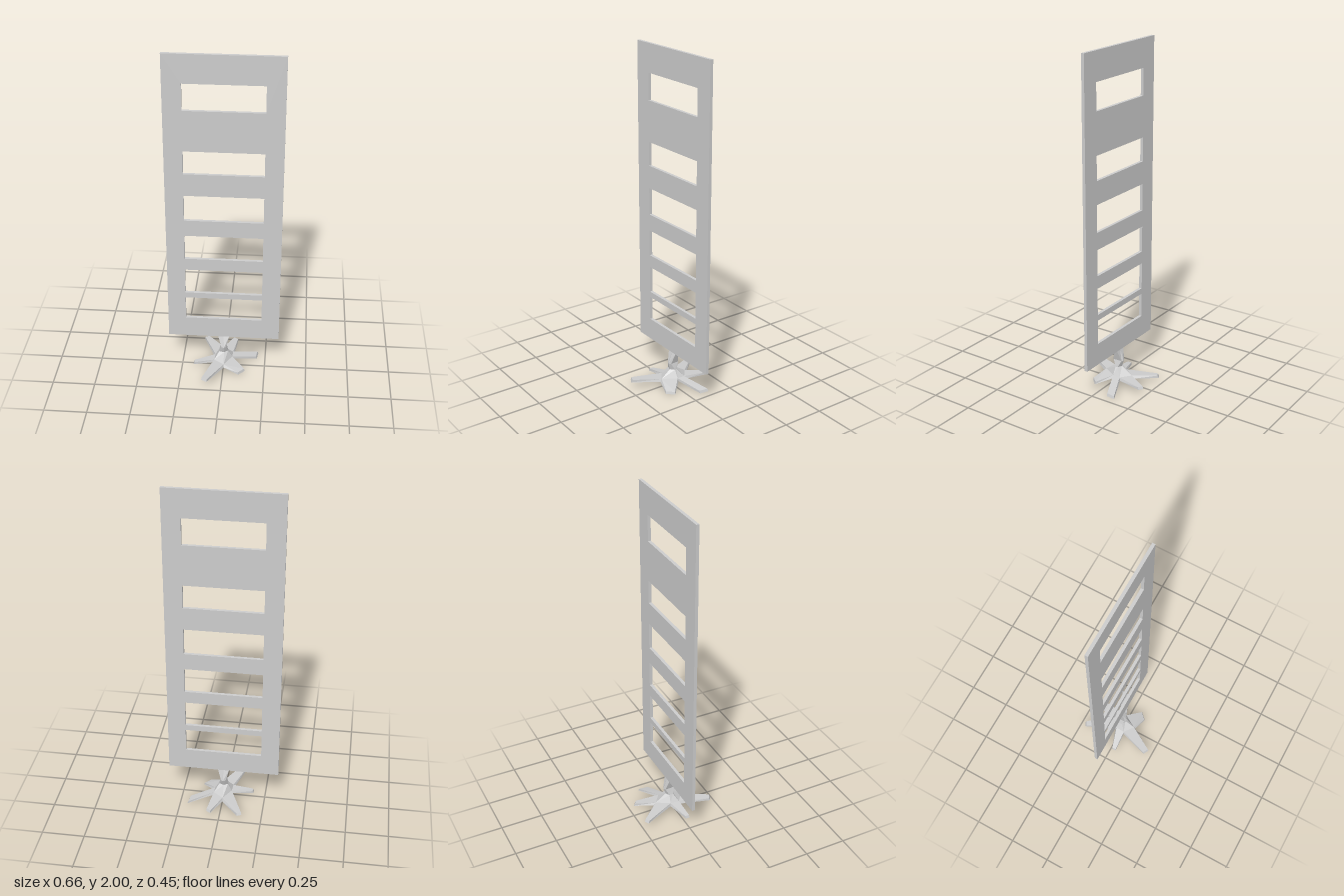
import * as THREE from 'three';

const material = new THREE.MeshStandardMaterial({ color: 0xcccccc, flatShading: true });

// Flat panel with six rectangular slots
function createPanel() {
  const shape = new THREE.Shape();
  shape.moveTo(-0.33, 0.205).lineTo(0.33, 0.205).lineTo(0.33, 2).lineTo(-0.33, 2).closePath();
  const slots = [[0.335, 0.48], [0.515, 0.675], [0.75, 0.905], [1.005, 1.165], [1.30, 1.44], [1.68, 1.835]];
  for (const [low, high] of slots) {
    const hole = new THREE.Path();
    hole.moveTo(-0.225, low).lineTo(-0.225, high).lineTo(0.225, high).lineTo(0.225, low).closePath();
    shape.holes.push(hole);
  }
  const geometry = new THREE.ExtrudeGeometry(shape, { depth: 0.018, bevelEnabled: false });
  geometry.translate(0, 0, -0.028);
  const mesh = new THREE.Mesh(geometry, material);
  mesh.name = 'slottedPanel';
  return mesh;
}

// Collects triangles and quads into one flat-shaded mesh
function faceMesh(name, build) {
  const positions = [];
  const tri = (...corners) => corners.forEach((p) => positions.push(...p));
  const quad = (a, b, c, d) => { tri(a, b, c); tri(a, c, d); };
  build(tri, quad);
  const geometry = new THREE.BufferGeometry();
  geometry.setAttribute('position', new THREE.Float32BufferAttribute(positions, 3));
  geometry.computeVertexNormals();
  const mesh = new THREE.Mesh(geometry, material);
  mesh.name = name;
  return mesh;
}

// Corners between neighbouring arms, [x, z], clockwise from above
const notches = [[-0.058, -0.032], [-0.006, -0.12], [0.062, -0.068], [0.06, -0.015], [0.006, 0.078], [-0.062, 0.03]];
// Arm ends: first corner, second corner, underside height
const tips = [
  [[-0.134, -0.215], [-0.108, -0.228], 0.03],
  [[0.053, -0.225], [0.078, -0.208], 0.03],
  [[0.207, -0.125], [0.20, -0.07], 0.003],
  [[0.133, 0.062], [0.095, 0.102], 0.008],
  [[-0.085, 0.225], [-0.118, 0.207], 0.042],
  [[-0.18, 0.035], [-0.18, 0.01], 0.018],
];
const place = ([x, z], y, scale = 1) => [x * scale, y, z * scale];
const hubRing = notches.map((p) => place(p, 0.055, 0.88));

// Six-armed foot
function createFoot() {
  return faceMesh('starFoot', (tri, quad) => {
    const lower = [];
    const upper = [];
    tips.forEach(([a, b, y], i) => {
      lower.push(place(notches[i], 0.038), place(a, y), place(b, y));
      upper.push(hubRing[i], place(a, y + 0.015, 0.97), place(b, y + 0.015, 0.97));
    });
    const n = lower.length;
    for (let i = 0; i < n; i++) {
      const j = (i + 1) % n;
      quad(lower[j], lower[i], upper[i], upper[j]);
    }
    for (let i = 0; i < n; i += 3) {
      const next = (i + 3) % n;
      quad(upper[next], upper[i + 2], upper[i + 1], upper[i]);
      quad(lower[i], lower[i + 1], lower[i + 2], lower[next]);
      tri([0, 0.038, -0.01], lower[i], lower[next]);
    }
  });
}

// Pinched neck joining the foot to the panel
function createNeck() {
  const ring = (y, points) => points.map((p) => place(p, y));
  const rings = [
    hubRing,
    ring(0.10, [[-0.027, -0.024], [-0.003, -0.038], [0.025, -0.026], [0.027, -0.012], [0.003, 0.008], [-0.026, 0]]),
    ring(0.14, [[-0.015, -0.045], [0, -0.052], [0.013, -0.045], [0.016, 0.008], [0.003, 0.018], [-0.012, 0.012]]),
    ring(0.207, [[-0.033, -0.027], [0, -0.027], [0.033, -0.027], [0.033, -0.011], [0, -0.011], [-0.033, -0.011]]),
  ];
  return faceMesh('pinchedNeck', (tri, quad) => {
    for (let r = 0; r < rings.length - 1; r++) {
      for (let i = 0; i < 6; i++) {
        const j = (i + 1) % 6;
        quad(rings[r][j], rings[r][i], rings[r + 1][i], rings[r + 1][j]);
      }
    }
  });
}

export function createModel() {
  const model = new THREE.Group();
  model.name = 'slottedStand';
  model.add(createPanel(), createFoot(), createNeck());
  return model;
}
